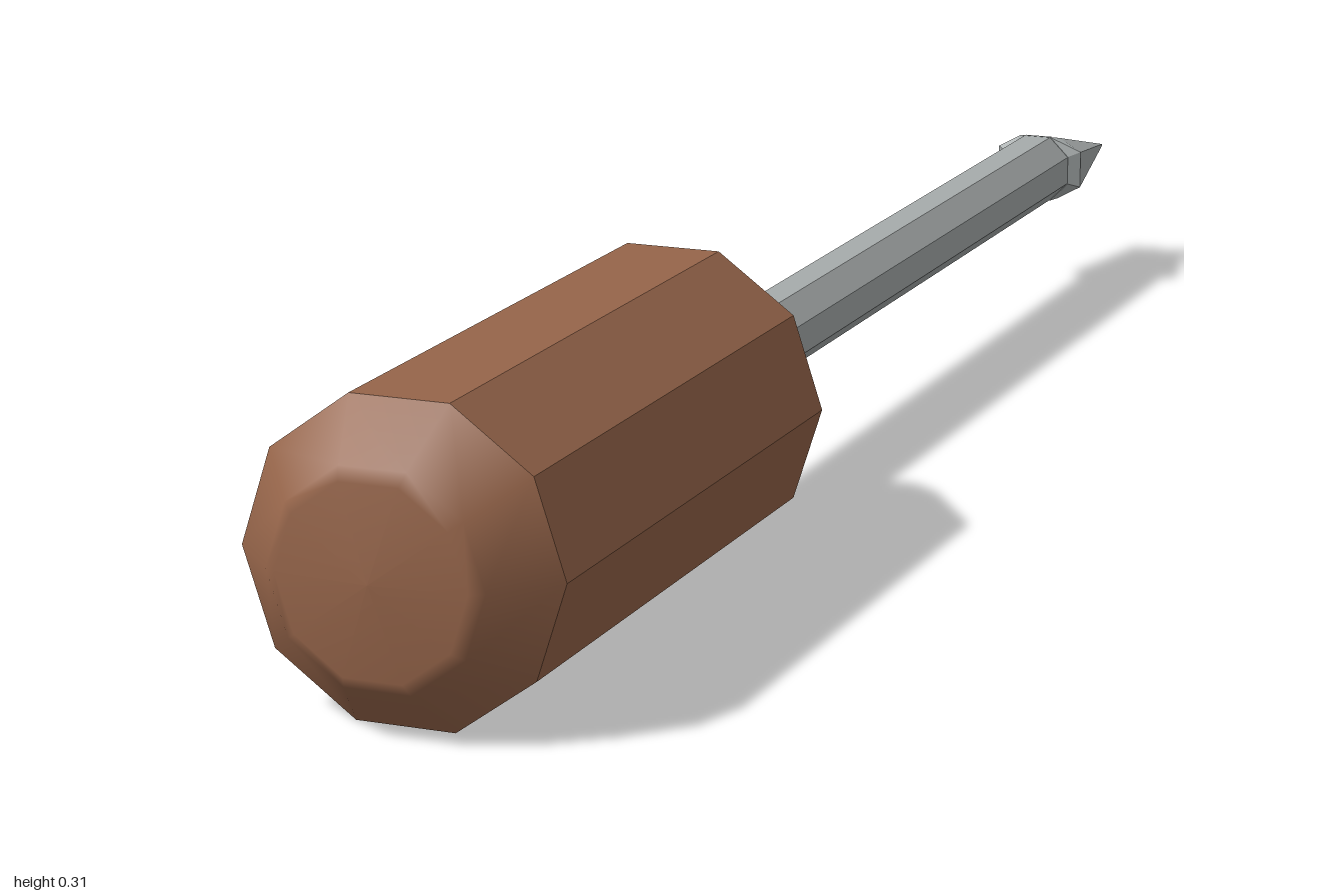
import * as THREE from 'three';

const AXIS_Y = 0.153; // height of the tool's long axis

// Profile of [radius, z] pairs, ordered by rising z, turned around the z axis
function turned(profile, sides, start, flat) {
  const points = profile.map(([r, z]) => new THREE.Vector2(r, z));
  let g = new THREE.LatheGeometry(points, sides, start);
  g.rotateX(Math.PI / 2);
  if (flat) {
    g = g.toNonIndexed();
    g.computeVertexNormals();
  }
  return g;
}

// Faceted blade: octagonal rings of [z, outer x, inner x, outer y, inner y]
function bladeGeometry(rings) {
  const loops = rings.map(([z, xo, xi, yo, yi]) => [
    [xo, yi], [xi, yo], [-xi, yo], [-xo, yi],
    [-xo, -yi], [-xi, -yo], [xi, -yo], [xo, -yi],
  ].map(([x, y]) => [x, y, z]));
  const pos = [];
  const tri = (a, b, c) => pos.push(...a, ...b, ...c);
  for (let k = 0; k < loops.length - 1; k++) {
    for (let i = 0; i < 8; i++) {
      const j = (i + 1) % 8;
      const [a, b] = [loops[k][i], loops[k][j]];
      const [c, d] = [loops[k + 1][i], loops[k + 1][j]];
      tri(a, c, b);
      tri(b, c, d);
    }
  }
  // Shoulder facing the handle
  for (let i = 1; i < 7; i++) tri(loops[0][0], loops[0][i], loops[0][i + 1]);
  const g = new THREE.BufferGeometry();
  g.setAttribute('position', new THREE.Float32BufferAttribute(pos, 3));
  g.computeVertexNormals();
  return g;
}

export function createModel() {
  const wood = new THREE.MeshStandardMaterial({ color: 0x96654a });
  wood.name = 'brownHandle';
  const steel = new THREE.MeshStandardMaterial({ color: 0xa6abab });
  steel.name = 'greySteel';

  const model = new THREE.Group();
  model.name = 'screwdriver';
  const add = (name, geometry, material) => {
    const mesh = new THREE.Mesh(geometry, material);
    mesh.name = name;
    mesh.position.y = AXIS_Y;
    model.add(mesh);
  };

  // Ten-sided grip with a tapered collar
  add('handleGrip', turned(
    [[0, 0.19], [0.099, 0.19], [0.161, 0.31], [0.161, 0.93]], 10, Math.PI / 2, true), wood);

  // Softly shaded end cap
  add('handleCap', turned(
    [[0.161, 0.93], [0.108, 0.985], [0.095, 0.994], [0, 1]], 10, Math.PI / 2, false), wood);

  // Eight-sided shaft
  add('shaft', turned(
    [[0.043, -0.845], [0.043, 0.2]], 8, Math.PI / 8, true), steel);

  // Flared blade narrowing to a straight edge
  add('bladeTip', bladeGeometry([
    [-0.84, 0.04, 0.017, 0.04, 0.017],
    [-0.85, 0.053, 0.025, 0.038, 0.022],
    [-1, 0.033, 0.016, 0.001, 0.001],
  ]), steel);

  return model;
}
